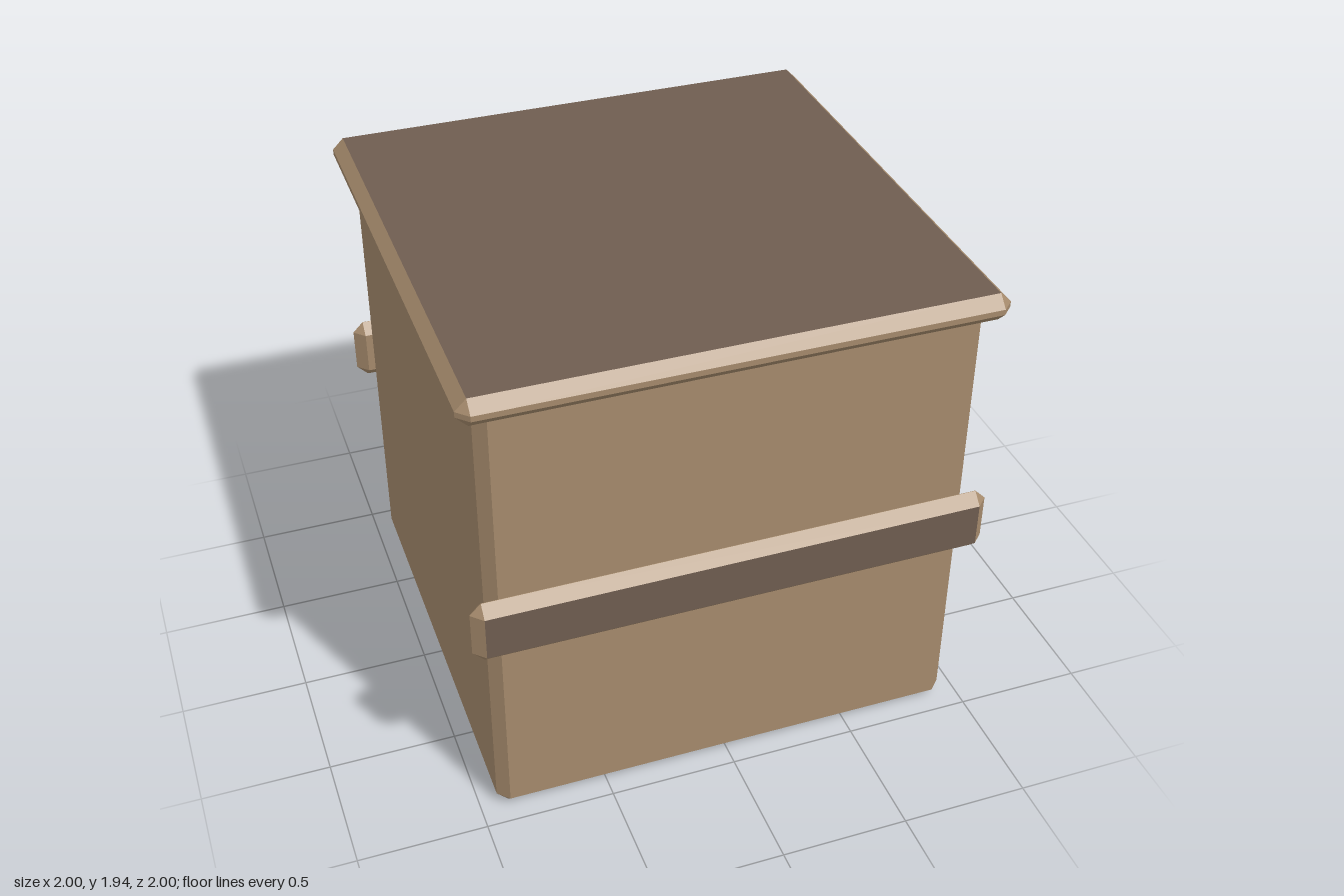
import * as THREE from 'three';
import { ConvexGeometry } from 'three/addons/geometries/ConvexGeometry.js';

const BEVEL = 0.043;
const wood = new THREE.MeshStandardMaterial({ color: 0xa58a6c });
const darkWood = new THREE.MeshStandardMaterial({ color: 0x6f5d50 });

// Box with flat bevels on every edge
function bevelledBox(w, h, d) {
  const half = [w / 2, h / 2, d / 2];
  const points = [];
  for (const sx of [-1, 1]) for (const sy of [-1, 1]) for (const sz of [-1, 1]) {
    for (let axis = 0; axis < 3; axis++) {
      const p = half.map((v, i) => (i === axis ? v : v - BEVEL));
      points.push(new THREE.Vector3(p[0] * sx, p[1] * sy, p[2] * sz));
    }
  }
  return new ConvexGeometry(points);
}

// Keep only the triangles that do (or do not) face a direction
function pickFaces(geometry, direction, facing) {
  const pos = geometry.attributes.position, nor = geometry.attributes.normal;
  const p = [], n = [], v = new THREE.Vector3();
  for (let i = 0; i < pos.count; i += 3) {
    const matches = v.fromBufferAttribute(nor, i).dot(direction) > 0.99;
    if (matches !== facing) continue;
    for (let j = i; j < i + 3; j++) {
      p.push(pos.getX(j), pos.getY(j), pos.getZ(j));
      n.push(nor.getX(j), nor.getY(j), nor.getZ(j));
    }
  }
  const result = new THREE.BufferGeometry();
  result.setAttribute('position', new THREE.Float32BufferAttribute(p, 3));
  result.setAttribute('normal', new THREE.Float32BufferAttribute(n, 3));
  return result;
}

// Bevelled board with light edges and one dark face
function board(name, w, h, d, direction) {
  const group = new THREE.Group();
  group.name = name;
  const box = bevelledBox(w, h, d);
  const edges = new THREE.Mesh(pickFaces(box, direction, false), wood);
  edges.name = name + 'Edges';
  const face = new THREE.Mesh(pickFaces(box, direction, true), darkWood);
  face.name = name + 'Face';
  group.add(edges, face);
  return group;
}

export function createModel() {
  const model = new THREE.Group();
  model.name = 'crate';

  // Body
  const body = new THREE.Mesh(bevelledBox(1.864, 1.88, 1.864), wood);
  body.name = 'body';
  body.position.y = 0.94;
  model.add(body);

  // Overhanging lid
  const lid = board('lid', 2, 0.108, 2, new THREE.Vector3(0, 1, 0));
  lid.position.y = 1.882;
  model.add(lid);

  // Horizontal slats on the front and back
  for (const [name, side] of [['frontSlat', 1], ['backSlat', -1]]) {
    const slat = board(name, 2, 0.262, 0.088, new THREE.Vector3(0, 0, side));
    slat.position.set(0, 0.936, side * 0.956);
    model.add(slat);
  }
  return model;
}
